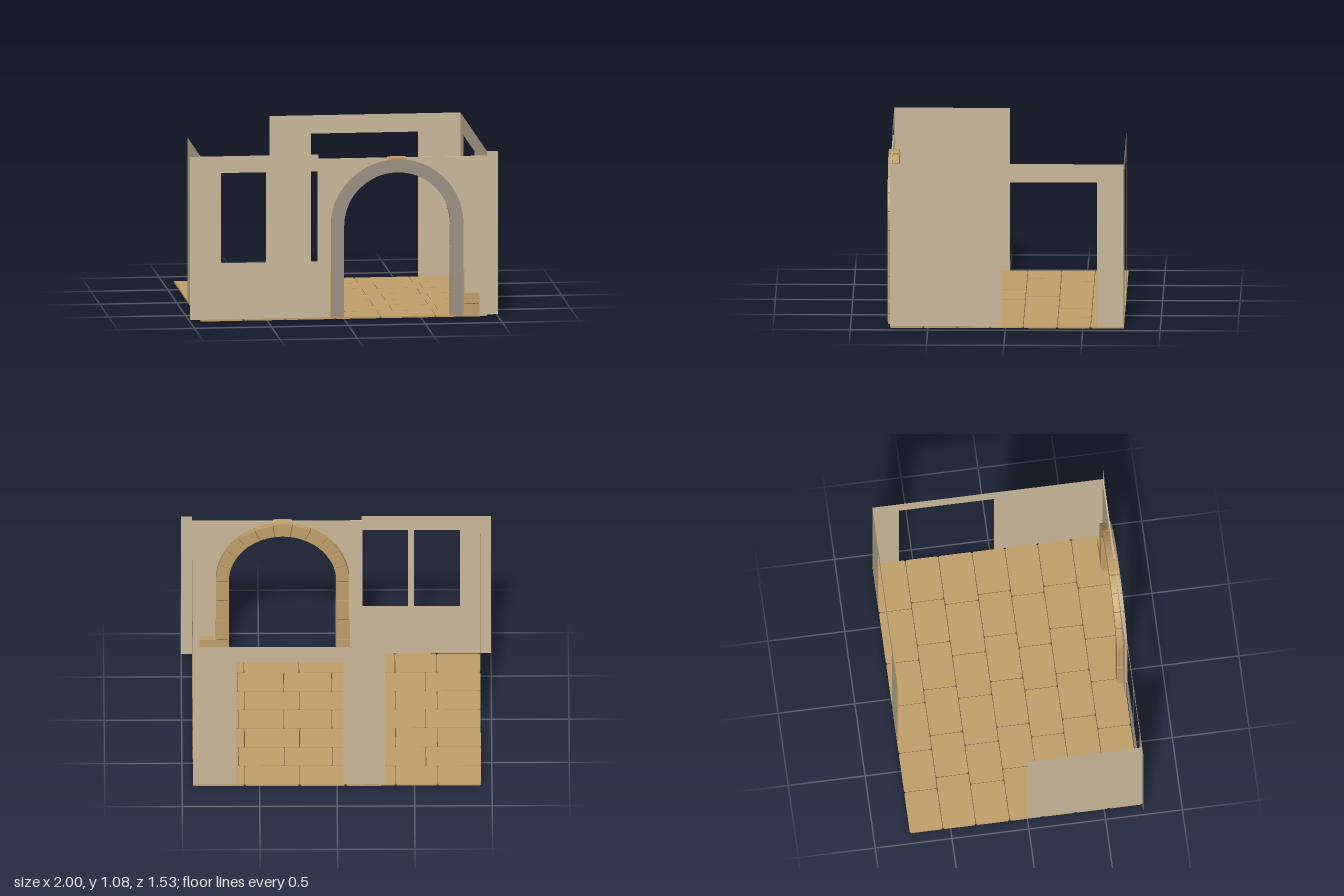
import * as THREE from 'three';

const mat = (name, color, side = THREE.FrontSide) => {
  const m = new THREE.MeshStandardMaterial({ color, side });
  m.name = name;
  return m;
};

export function createModel() {
  const root = new THREE.Group();
  root.name = 'room';
  const plaster = mat('plaster', 0xc9b899, THREE.DoubleSide);
  const stone = mat('tanStone', 0xc09e68);
  const grout = mat('grout', 0x6b5334);
  const trim = mat('greyTrim', 0x9a9184);

  const add = (name, geo, material, parent = root) => {
    const m = new THREE.Mesh(geo, material);
    m.name = name;
    parent.add(m);
    return m;
  };
  const group = (name) => {
    const g = new THREE.Group();
    g.name = name;
    root.add(g);
    return g;
  };
  const poly = (pts) => new THREE.Shape(pts.map(([x, y]) => new THREE.Vector2(x, y)));
  const rect = (x0, x1, y0, y1) => poly([[x0, y0], [x1, y0], [x1, y1], [x0, y1]]);
  const box = (x0, x1, y0, y1, z0, z1) =>
    new THREE.BoxGeometry(x1 - x0, y1 - y0, z1 - z0).translate((x0 + x1) / 2, (y0 + y1) / 2, (z0 + z1) / 2);

  const BASE = 0.012, TOP = 1.08, DOOR = 0.96, SIDE = 0.93, BACK = -0.763, FRONT = 0.745;

  // Floor: seven rows of chamfered tiles over a thin grout bed
  const floor = group('floor');
  add('groutBed', box(-0.925, 0.925, 0.002, 0.007, -0.76, 0.74), grout, floor);
  const rows = [-0.765, -0.55, -0.335, -0.115, 0.098, 0.312, 0.53, FRONT];
  const joints = [
    [-SIDE, -0.65, -0.38, -0.055, 0.24, 0.595, SIDE],
    [-SIDE, -0.575, -0.285, 0.03, 0.34, 0.635, SIDE],
  ];
  const tile = (x0, x1, z0, z1) => {
    const c = 0.009;
    const s = poly([[x0 + c, z0], [x1 - c, z0], [x1, z0 + c], [x1, z1 - c],
      [x1 - c, z1], [x0 + c, z1], [x0, z1 - c], [x0, z0 + c]]);
    return new THREE.ExtrudeGeometry(s, { depth: 0.012, bevelEnabled: false })
      .rotateX(Math.PI / 2).translate(0, 0.012, 0);
  };
  for (let r = 0; r < 7; r++) {
    const xs = joints[r % 2], g = 0.002;
    for (let i = 0; i < 6; i++) {
      add('floorTile', tile(xs[i] + (i ? g : 0), xs[i + 1] - (i < 5 ? g : 0),
        rows[r] + (r ? g : 0), rows[r + 1] - (r < 6 ? g : 0)), stone, floor);
    }
  }

  // Thin wall sheets; a doorway is a notch open at the bottom
  const doorWall = (a, b, d0, d1) => poly([[a, BASE], [d0, BASE], [d0, DOOR], [d1, DOOR],
    [d1, BASE], [b, BASE], [b, TOP], [a, TOP]]);
  const sheet = (s) => new THREE.ShapeGeometry(s);
  add('backWall', sheet(doorWall(-0.31, SIDE, -0.04, 0.655)), plaster).position.z = BACK;

  const rightSide = add('leftWall', sheet(doorWall(BACK, FRONT, -0.59, 0.03)), plaster);
  rightSide.rotation.y = -Math.PI / 2;
  rightSide.position.x = SIDE;
  const shortSide = add('rightWall', sheet(rect(0, FRONT, BASE, TOP)), plaster);
  shortSide.rotation.y = -Math.PI / 2;
  shortSide.position.x = -SIDE;

  // Front wall with two windows, and the narrow strip at the other corner
  const windowWall = rect(-1, -0.165, BASE, TOP);
  windowWall.holes.push(rect(-0.8, -0.505, 0.38, 0.97), rect(-0.465, -0.172, 0.38, 0.97));
  add('windowWall', sheet(windowWall), plaster).position.z = 0.748;
  add('cornerStrip', sheet(rect(SIDE, 1, BASE, TOP)), plaster).position.z = 0.748;

  // Arched front panel
  const CX = 0.345, CY = 0.61, RI = 0.347, RO = 0.43;
  const panel = new THREE.Shape();
  const RP = 0.39;
  panel.moveTo(-0.165, 0.008);
  panel.lineTo(CX - RP, 0.008);
  panel.lineTo(CX - RP, CY);
  panel.absarc(CX, CY, RP, Math.PI, 0, true);
  panel.lineTo(CX + RP, 0.008);
  panel.lineTo(SIDE, 0.008);
  panel.lineTo(SIDE, 1.05);
  panel.lineTo(-0.165, 1.05);
  panel.closePath();
  add('archPanel', new THREE.ExtrudeGeometry(panel, { depth: 0.01, bevelEnabled: false, curveSegments: 32 }),
    plaster).position.z = 0.735;

  // Brick arch: legs, then eleven wedge stones with a taller keystone
  const arch = group('brickArch');
  const Z0 = 0.695, Z1 = 0.76, GAP = 0.004;
  for (const s of [-1, 1]) {
    for (let i = 0; i < 4; i++) {
      const h = (CY - BASE) / 4, y = BASE + i * h;
      const out = i < 2 ? RO + 0.006 : RO;
      const xs = [CX + s * RI, CX + s * out].sort((a, b) => a - b);
      add('legBrick', box(xs[0], xs[1], y, y + h - GAP, Z0, Z1), stone, arch);
    }
  }
  const step = Math.PI / 11;
  for (let i = 0; i < 11; i++) {
    const a = i * step + 0.005, b = (i + 1) * step - 0.005;
    const s = new THREE.Shape();
    s.absarc(CX, CY, i === 5 ? RO + 0.012 : RO, a, b, false);
    s.absarc(CX, CY, RI, b, a, true);
    s.closePath();
    const g = new THREE.ExtrudeGeometry(s, { depth: Z1 - Z0, bevelEnabled: false, curveSegments: 4 });
    add(i === 5 ? 'keystone' : 'archBrick', g, stone, arch).position.z = Z0;
  }
  // Mortar core seen between the bricks
  const band = (ri, ro, z, depth) => {
    const s = new THREE.Shape();
    s.moveTo(CX + ro, BASE);
    s.lineTo(CX + ro, CY);
    s.absarc(CX, CY, ro, 0, Math.PI, false);
    s.lineTo(CX - ro, BASE);
    s.lineTo(CX - ri, BASE);
    s.lineTo(CX - ri, CY);
    s.absarc(CX, CY, ri, Math.PI, 0, true);
    s.lineTo(CX + ri, BASE);
    s.closePath();
    return new THREE.ExtrudeGeometry(s, { depth, bevelEnabled: false, curveSegments: 32 }).translate(0, 0, z);
  };
  add('archMortar', band(RI + 0.004, RO - 0.004, Z0 + 0.004, Z1 - Z0 - 0.006), grout, arch);

  // Grey facing on the front of the arch
  add('archFacing', band(RI - 0.002, RO, Z1, 0.004), trim, arch);

  // Two loose bricks beside the arch
  const stack = group('sideBricks');
  add('lowerBrick', box(0.781, 0.88, 0.014, 0.084, Z0, 0.757), stone, stack);
  add('upperBrick', box(0.781, 0.88, 0.088, 0.155, Z0, 0.757), stone, stack);
  add('brickMortar', box(0.783, 0.877, 0.082, 0.09, Z0 + 0.003, 0.754), grout, stack);

  return root;
}
